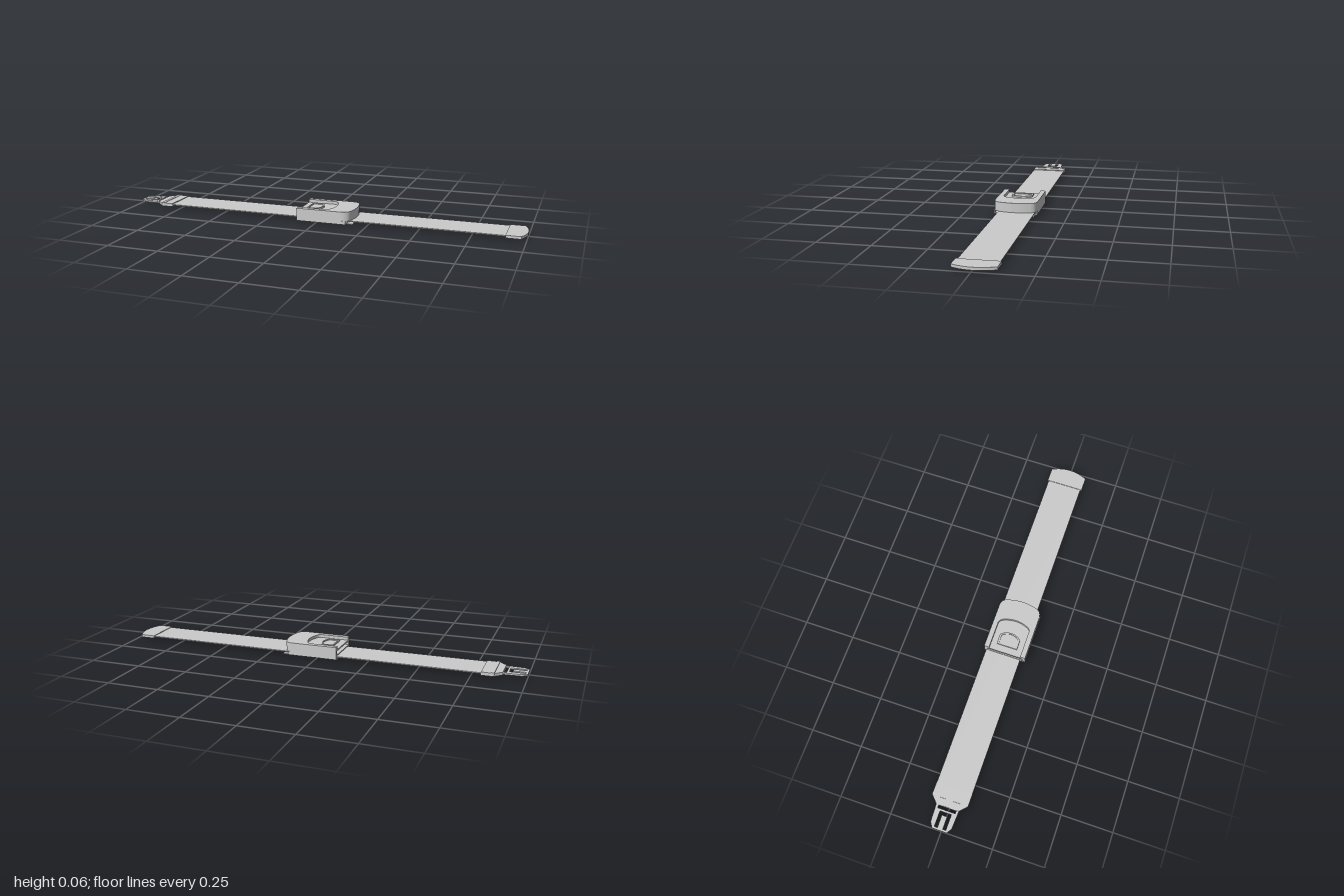
import * as THREE from 'three';

const material = new THREE.MeshStandardMaterial({ color: 0xcccccc, flatShading: true });

// Shape from plan points [x, z]
const plan = (pts) => new THREE.Shape(pts.map(([x, z]) => new THREE.Vector2(x, z)));
const rect = (x0, x1, z0, z1) => plan([[x0, z0], [x1, z0], [x1, z1], [x0, z1]]);

// Flat part: a plan shape in x/z, raised from y0 to y1
function slab(name, shape, y0, y1, holes = []) {
  shape.holes.push(...holes);
  const geo = new THREE.ExtrudeGeometry(shape, { depth: y1 - y0, bevelEnabled: false, curveSegments: 10 });
  geo.rotateX(Math.PI / 2).translate(0, y1, 0);
  const mesh = new THREE.Mesh(geo, material);
  mesh.name = name;
  return mesh;
}

// Buckle plan: square left end, rounded corners and a bowed right end
function buckleOutline() {
  const s = new THREE.Shape();
  s.moveTo(-0.1, -0.105);
  s.lineTo(0.125, -0.105);
  s.quadraticCurveTo(0.16, -0.103, 0.167, -0.075);
  s.quadraticCurveTo(0.19, 0, 0.167, 0.075);
  s.quadraticCurveTo(0.16, 0.103, 0.125, 0.105);
  s.lineTo(-0.1, 0.105);
  return s;
}

// Same plan, cut open from the left by a pocket with a bowed end
function openOutline(halfWidth, cornerX, endX) {
  const s = buckleOutline();
  s.lineTo(-0.1, halfWidth);
  s.lineTo(cornerX - 0.02, halfWidth);
  s.quadraticCurveTo(cornerX, halfWidth, cornerX + 0.008, halfWidth - 0.025);
  s.quadraticCurveTo(endX + 0.01, 0, cornerX + 0.008, -halfWidth + 0.025);
  s.quadraticCurveTo(cornerX, -halfWidth, cornerX - 0.02, -halfWidth);
  s.lineTo(-0.1, -halfWidth);
  return s;
}

// D-shaped plan for the release button, scaled about its middle
function buttonOutline(k) {
  const s = new THREE.Shape(), cx = -0.03;
  s.moveTo(cx - 0.036 * k, -0.052 * k);
  s.lineTo(cx + 0.012 * k, -0.052 * k);
  s.quadraticCurveTo(cx + 0.026 * k, -0.045 * k, cx + 0.034 * k, -0.016 * k);
  s.quadraticCurveTo(cx + 0.038 * k, 0, cx + 0.034 * k, 0.016 * k);
  s.quadraticCurveTo(cx + 0.026 * k, 0.045 * k, cx + 0.012 * k, 0.052 * k);
  s.lineTo(cx - 0.036 * k, 0.052 * k);
  return s;
}

function createBuckle() {
  const g = new THREE.Group();
  g.name = 'buckle';
  g.add(slab('bottomPad', rect(-0.1, 0.18, -0.095, 0.082), 0, 0.004));
  g.add(slab('base', rect(-0.1, 0.15, -0.105, 0.105), 0.003, 0.008));
  // Walls beside the webbing channel
  for (const side of [-1, 1]) {
    const z = [0.099 * side, 0.105 * side].sort((a, b) => a - b);
    g.add(slab('channelWall', rect(-0.1, 0.15, z[0], z[1]), 0.008, 0.02));
  }
  g.add(slab('channelRoof', buckleOutline(), 0.019, 0.024));
  // Housing with the tongue mouth open to the left
  g.add(slab('housing', openOutline(0.09, 0.04, 0.06), 0.024, 0.042));
  g.add(slab('recessFloor', buckleOutline(), 0.042, 0.05));
  g.add(slab('topRim', openOutline(0.08, 0.055, 0.075), 0.05, 0.065));
  // Release button with a raised edge
  g.add(slab('buttonFace', buttonOutline(0.85), 0.05, 0.053));
  g.add(slab('buttonEdge', buttonOutline(1), 0.05, 0.058, [buttonOutline(0.82)]));
  return g;
}

function createTongue() {
  const g = new THREE.Group();
  g.name = 'tongue';
  const cz = -0.008;
  // Webbing grip
  g.add(slab('grip', rect(-0.856, -0.795, -0.097, 0.081), 0.006, 0.022));
  g.add(slab('gripBar', rect(-0.856, -0.84, -0.097, 0.081), 0.022, 0.024));
  g.add(slab('shoulder', plan([[-0.89, cz - 0.056], [-0.856, cz - 0.088],
    [-0.856, cz + 0.088], [-0.89, cz + 0.056]]), 0.007, 0.021));
  // Latch plate: a U-shaped slot round a finger, and a cross slot behind
  const plate = plan([[-1, cz - 0.036], [-0.975, cz - 0.052], [-0.89, cz - 0.056],
    [-0.87, cz - 0.056], [-0.87, cz + 0.056], [-0.89, cz + 0.056],
    [-0.975, cz + 0.052], [-1, cz + 0.036]]);
  const slot = plan([[-0.99, cz - 0.028], [-0.915, cz - 0.028], [-0.915, cz + 0.028],
    [-0.99, cz + 0.028], [-0.99, cz + 0.013], [-0.93, cz + 0.013],
    [-0.93, cz - 0.013], [-0.99, cz - 0.013]]);
  g.add(slab('latchPlate', plate, 0.01, 0.018, [slot, rect(-0.905, -0.892, cz - 0.043, cz + 0.043)]));
  return g;
}

// Webbing end cap with a bowed tip
function createEndCap() {
  const s = new THREE.Shape();
  s.moveTo(0.905, -0.101);
  s.lineTo(0.976, -0.101);
  s.quadraticCurveTo(1.024, -0.007, 0.976, 0.087);
  s.lineTo(0.905, 0.087);
  return slab('endCap', s, 0.008, 0.021);
}

export function createModel() {
  const model = new THREE.Group();
  model.name = 'strapWithBuckle';
  model.add(slab('webbing', rect(-0.83, 0.94, -0.096, 0.08), 0.013, 0.018));
  model.add(createBuckle(), createTongue(), createEndCap());
  return model;
}
